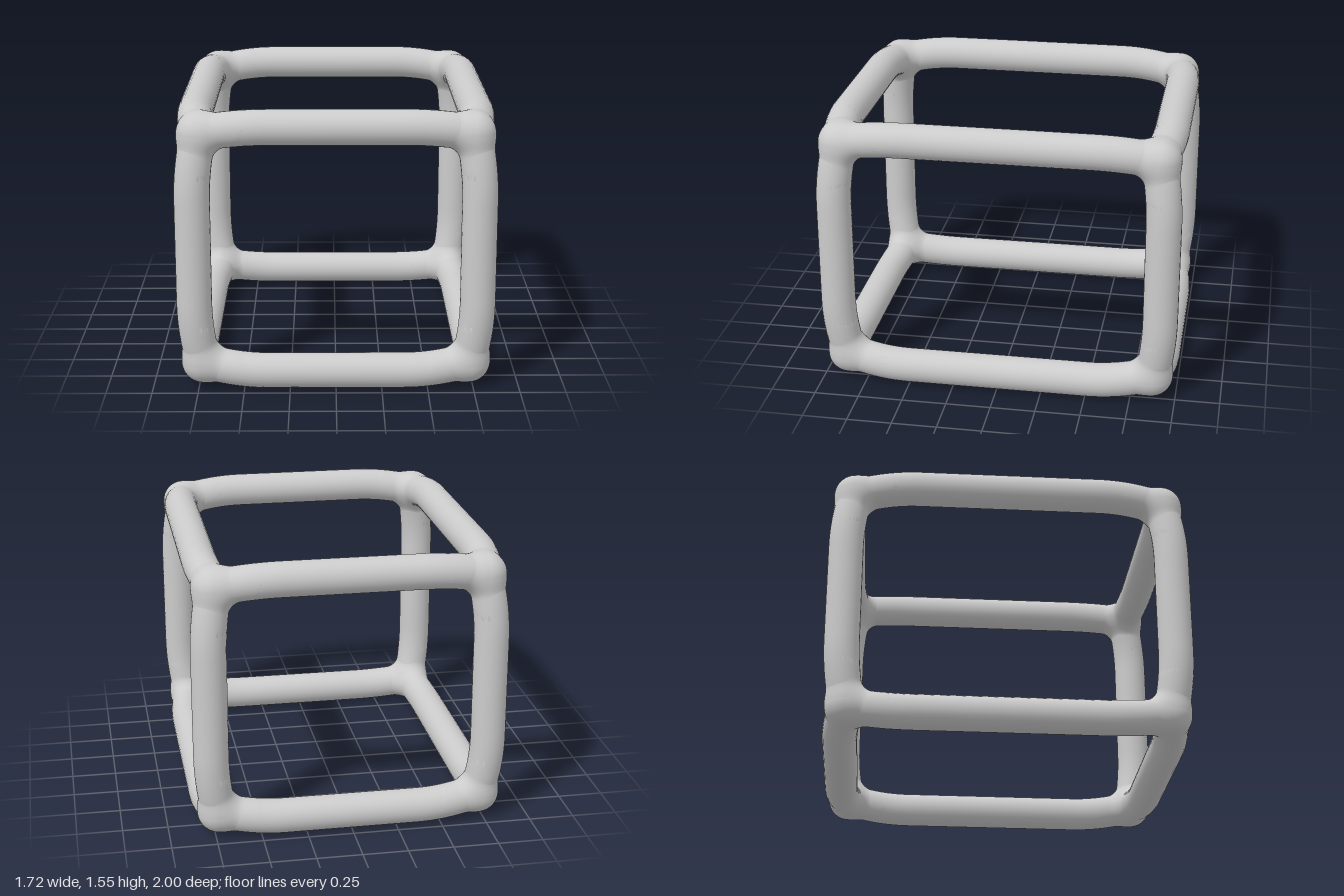
import * as THREE from 'three';
import { mergeVertices } from 'three/addons/utils/BufferGeometryUtils.js';

const HALF = [0.766, 0.681, 0.904]; // bar centrelines, measured from the frame's middle
const MID_Y = 0.777;
const R = 0.096;     // bar radius
const PULL = 0.05;   // how far bar ends lean inward towards a corner
const LEAN = 0.4;    // length over which they lean
const START = 0.04;  // where the three bars of a corner meet
const BLEND = 0.06;  // softness of the corner fillet

// inward offset of a bar at distance t from its corner
const lean = (t) => PULL * Math.max(0, 1 - t / LEAN) ** 2;

const smoothMin = (a, b) => {
  const h = Math.max(BLEND - Math.abs(a - b), 0) / BLEND;
  return Math.min(a, b) - h * h * BLEND / 4;
};

// distance to the three blended bars; q is measured inward from the corner
function cornerDistance(q) {
  const arms = [0, 1, 2].map((a) => {
    const t = Math.max(q[a], START), o = lean(t);
    return Math.hypot(q[a] - t, q[(a + 1) % 3] - o, q[(a + 2) % 3] - o) - R;
  }).sort((a, b) => a - b);
  return smoothMin(smoothMin(arms[0], arms[1]), arms[2]);
}

// ball whose vertices are pushed out to the surface of the blended bars
function cornerGeometry(sign) {
  let geo = new THREE.IcosahedronGeometry(1, 17);
  geo.deleteAttribute('uv');
  geo.deleteAttribute('normal');
  geo = mergeVertices(geo, 1e-5);
  const pos = geo.attributes.position;
  const dir = new THREE.Vector3();
  for (let i = 0; i < pos.count; i++) {
    dir.fromBufferAttribute(pos, i).normalize();
    const d = dir.toArray();
    const at = (s) => d.map((c, a) => START - sign[a] * c * s);
    let s = 0;
    for (let k = 0; k < 80; k++) {
      const dist = cornerDistance(at(s));
      if (dist > -1e-4 || Math.max(...at(s)) > 0.28) break;
      s -= dist * 0.8;
    }
    const q = at(s);
    pos.setXYZ(i, ...q.map((c, a) => sign[a] * (HALF[a] - c)));
  }
  geo.computeVertexNormals();
  return geo;
}

// bar along one axis, straight in the middle and leaning inward at both ends
function barGeometry(axis, s1, s2) {
  const b = (axis + 1) % 3, c = (axis + 2) % 3;
  const points = [];
  const end = HALF[axis] - START, n = 40;
  for (let i = 0; i <= n; i++) {
    const u = -end + (2 * end * i) / n;
    const o = lean(HALF[axis] - Math.abs(u));
    const p = [0, 0, 0];
    p[axis] = u;
    p[b] = s1 * (HALF[b] - o);
    p[c] = s2 * (HALF[c] - o);
    points.push(new THREE.Vector3(...p));
  }
  return new THREE.TubeGeometry(new THREE.CatmullRomCurve3(points), 48, R, 28);
}

export function createModel() {
  const frame = new THREE.Group();
  frame.name = 'boxFrame';
  const material = new THREE.MeshStandardMaterial({ color: 0xcccccc });
  const add = (name, geometry) => {
    const mesh = new THREE.Mesh(geometry, material);
    mesh.name = name;
    mesh.position.y = MID_Y;
    frame.add(mesh);
  };

  const barNames = ['crossBar', 'uprightBar', 'sideBar'];
  for (const s1 of [-1, 1]) {
    for (const s2 of [-1, 1]) {
      // four parallel bars in each direction
      barNames.forEach((name, axis) => add(name, barGeometry(axis, s1, s2)));
      // eight filleted corners
      for (const s3 of [-1, 1]) add('cornerJoint', cornerGeometry([s1, s2, s3]));
    }
  }
  return frame;
}
